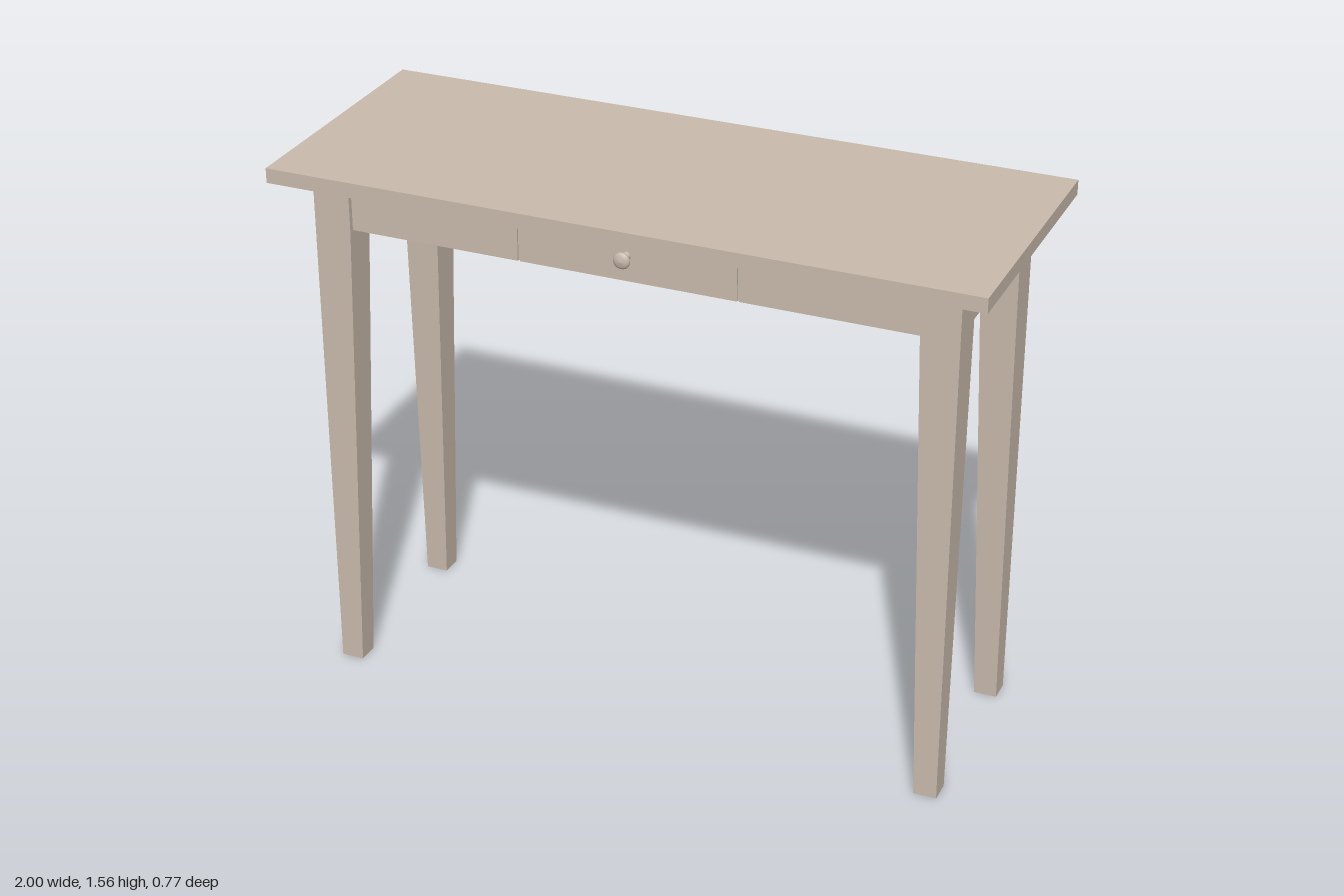
import * as THREE from 'three';

export function createModel() {
  const table = new THREE.Group();
  table.name = 'consoleTable';
  const wood = new THREE.MeshStandardMaterial({ color: 0xc8b9ab });
  wood.name = 'pale wood';

  const add = (name, geometry, x, y, z) => {
    const mesh = new THREE.Mesh(geometry, wood);
    mesh.name = name;
    mesh.position.set(x, y, z);
    table.add(mesh);
    return mesh;
  };
  const box = (name, w, h, d, x, y, z) => add(name, new THREE.BoxGeometry(w, h, d), x, y, z);

  const topBottom = 1.515, height = 1.557, apronBottom = 1.37;

  // Table top
  box('tableTop', 2, height - topBottom, 0.774, 0, (height + topBottom) / 2, 0);

  // Apron, slightly recessed behind the legs
  const apronHeight = topBottom - apronBottom;
  const apronY = (topBottom + apronBottom) / 2;
  box('apron', 1.79, apronHeight, 0.565, 0, apronY, -0.0025);

  // Front boards either side of the drawer, separated by narrow gaps
  const boardZ = 0.2825, boardDepth = 0.006;
  box('drawerFront', 0.614, apronHeight, boardDepth, 0, apronY, boardZ);
  for (const side of [-1, 1]) {
    box(side > 0 ? 'leftFrontBoard' : 'rightFrontBoard', 0.52, apronHeight, boardDepth,
      side * 0.573, apronY, boardZ);
  }

  // Legs: square block at the apron, tapering on the two inner sides below it
  const outerX = 0.91, outerZ = 0.3, blockSize = 0.106, footSize = 0.065;
  for (const sx of [-1, 1]) {
    for (const sz of [-1, 1]) {
      const geometry = new THREE.BoxGeometry(1, topBottom, 1, 1, 2, 1);
      const p = geometry.attributes.position;
      for (let i = 0; i < p.count; i++) {
        const row = p.getY(i);
        const size = row < -0.1 ? footSize : blockSize;
        const inX = p.getX(i) * sx < 0, inZ = p.getZ(i) * sz < 0;
        const y = row < -0.1 ? 0 : row > 0.1 ? topBottom : apronBottom;
        p.setXYZ(i, sx * (outerX - (inX ? size : 0)), y, sz * (outerZ - (inZ ? size : 0)));
      }
      const flat = geometry.toNonIndexed();
      flat.computeVertexNormals();
      add((sz > 0 ? 'front' : 'back') + (sx > 0 ? 'Left' : 'Right') + 'Leg', flat, 0, 0, 0);
    }
  }

  // Turned drawer knob
  const profile = [
    [0.012, 0], [0.010, 0.012], [0.011, 0.022], [0.020, 0.027], [0.024, 0.033],
    [0.022, 0.038], [0.014, 0.043], [0, 0.045],
  ].map(([r, y]) => new THREE.Vector2(r, y));
  const knob = add('drawerKnob', new THREE.LatheGeometry(profile, 24), 0, 1.442, 0.284);
  knob.rotation.x = Math.PI / 2;

  return table;
}
